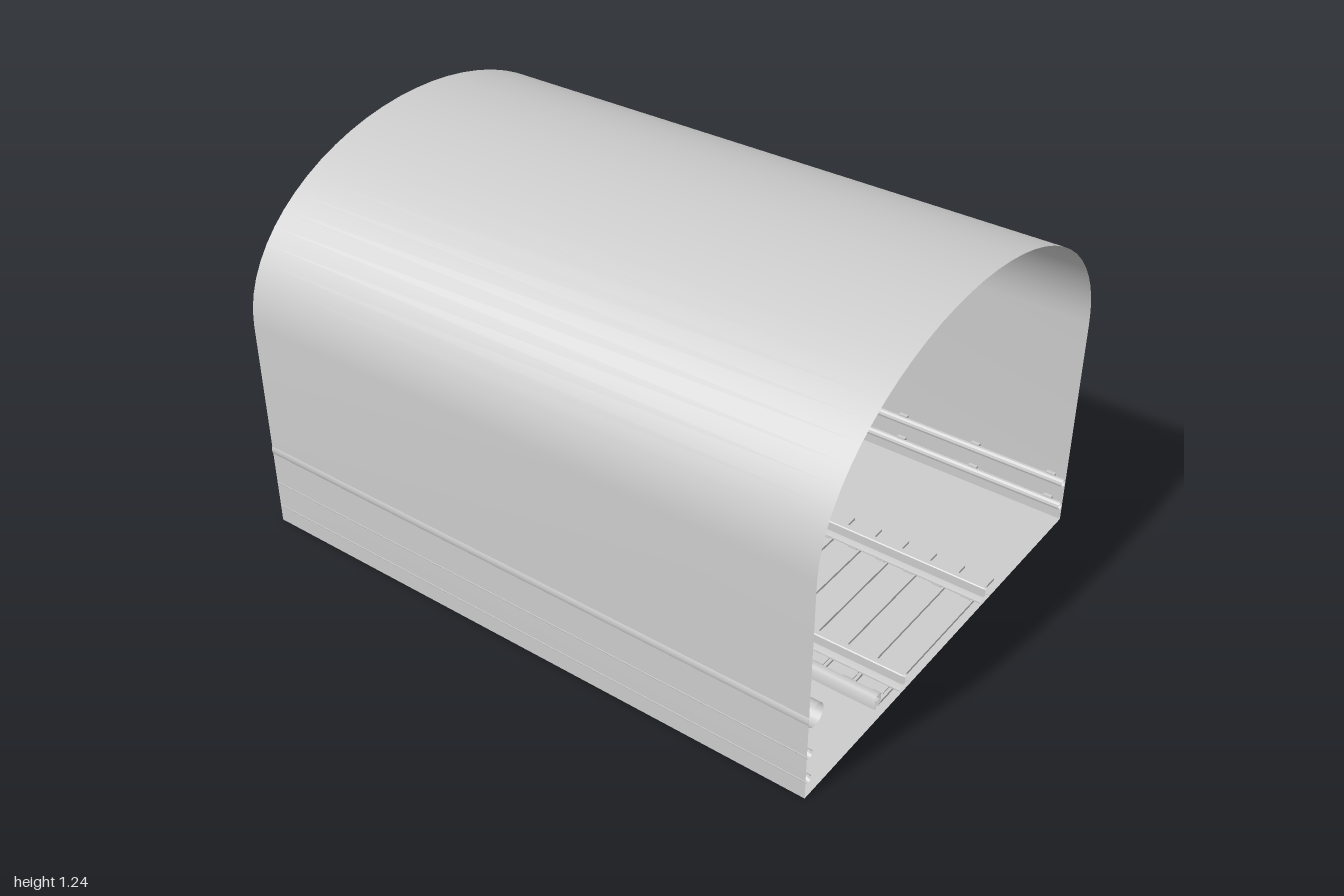
import * as THREE from 'three';
import { toCreasedNormals } from 'three/addons/utils/BufferGeometryUtils.js';

const LENGTH = 2;
const mat = new THREE.MeshStandardMaterial({ color: 0xcccccc, side: THREE.DoubleSide });

// Open-ended sweep of a 2D cross-section along z (no end caps)
function sweep(points, closed) {
  const pos = [];
  const n = closed ? points.length : points.length - 1;
  const h = LENGTH / 2;
  for (let i = 0; i < n; i++) {
    const [ax, ay] = points[i];
    const [bx, by] = points[(i + 1) % points.length];
    pos.push(ax, ay, h, bx, by, h, bx, by, -h, ax, ay, h, bx, by, -h, ax, ay, -h);
  }
  const geo = new THREE.BufferGeometry();
  geo.setAttribute('position', new THREE.Float32BufferAttribute(pos, 3));
  geo.computeVertexNormals();
  return toCreasedNormals(geo, 0.6);
}

function circle(cx, cy, r, n) {
  return Array.from({ length: n }, (_, i) => {
    const a = (-i / n) * Math.PI * 2;
    return [cx + r * Math.cos(a), cy + r * Math.sin(a)];
  });
}

export function createModel() {
  const model = new THREE.Group();
  const add = (name, geo, x = 0, y = 0, z = 0, parent = model) => {
    const mesh = new THREE.Mesh(geo, mat);
    mesh.name = name;
    mesh.position.set(x, y, z);
    parent.add(mesh);
    return mesh;
  };
  const group = (name) => {
    const g = new THREE.Group();
    g.name = name;
    model.add(g);
    return g;
  };

  // Tunnel shell: straight walls and an elliptical vault
  const W = 0.75, SPRING = 0.735, RISE = 0.5, SEG = 32;
  const shell = [[W, 0]];
  for (let i = 0; i <= SEG; i++) {
    const a = (i / SEG) * Math.PI;
    shell.push([W * Math.cos(a), SPRING + RISE * Math.sin(a)]);
  }
  shell.push([-W, 0]);
  add('tunnelShell', sweep(shell, false));
  add('floor', new THREE.PlaneGeometry(2 * W, LENGTH).rotateX(-Math.PI / 2));

  // Sleepers with a tie plate under each rail
  const sleepers = group('sleepers');
  const sleeperGeo = new THREE.BoxGeometry(0.7, 0.009, 0.05);
  const plateGeo = new THREE.BoxGeometry(0.085, 0.004, 0.032);
  for (let i = 0; i < 20; i++) {
    const z = -0.95 + i * 0.1;
    add('sleeper', sleeperGeo, 0, 0.0045, z, sleepers);
    for (const s of [-1, 1]) add('tiePlate', plateGeo, s * 0.253, 0.011, z, sleepers);
  }

  // Running rails: foot, web and head
  const half = [[0.025, 0.012], [0.025, 0.017], [0.004, 0.022], [0.004, 0.045],
    [0.012, 0.048], [0.012, 0.06], [0.009, 0.063]];
  const railProfile = [...half, ...half.map(([x, y]) => [-x, y]).reverse()];
  const railGeo = sweep(railProfile, true);
  for (const s of [-1, 1]) add(s > 0 ? 'leftRail' : 'rightRail', railGeo, s * 0.237);

  // Covered power rail beside the track
  const cover = [[-0.402, 0.05], [-0.402, 0.085], [-0.396, 0.094], [-0.386, 0.097],
    [-0.376, 0.094], [-0.37, 0.085], [-0.37, 0.05]];
  add('powerRailCover', sweep(cover, false));
  add('powerRail', sweep([[-0.394, 0.045], [-0.394, 0.075], [-0.378, 0.075], [-0.378, 0.045]], true));

  // Brackets holding the power rail
  const arm = new THREE.CurvePath();
  const v = (x, y) => new THREE.Vector3(x, y, 0);
  arm.add(new THREE.LineCurve3(v(-0.42, 0.005), v(-0.42, 0.07)));
  arm.add(new THREE.QuadraticBezierCurve3(v(-0.42, 0.07), v(-0.42, 0.1), v(-0.395, 0.1)));
  arm.add(new THREE.LineCurve3(v(-0.395, 0.1), v(-0.37, 0.1)));
  const armGeo = new THREE.TubeGeometry(arm, 24, 0.004, 6, false);
  const baseGeo = new THREE.BoxGeometry(0.052, 0.006, 0.05);
  const brackets = group('powerRailBrackets');
  for (const z of [-0.75, -0.25, 0.25, 0.75]) {
    add('bracketArm', armGeo, 0, 0, z, brackets);
    add('bracketBase', baseGeo, -0.42, 0.003, z, brackets);
  }

  // Large pipe on the right wall
  add('wallPipe', sweep(circle(-0.717, 0.275, 0.036, 20), true));

  // Cables along both walls with regular clamps
  const cableGeo = sweep(circle(0, 0, 0.014, 10), true);
  const clampGeo = new THREE.BoxGeometry(0.012, 0.036, 0.03);
  const cables = group('wallCables');
  for (const s of [-1, 1]) {
    for (const y of [0.06, 0.15]) {
      add('cable', cableGeo, s * 0.737, y, 0, cables);
      for (let i = 0; i < 8; i++) add('cableClamp', clampGeo, s * 0.744, y, 0.95 - i * 0.27, cables);
    }
  }
  return model;
}
